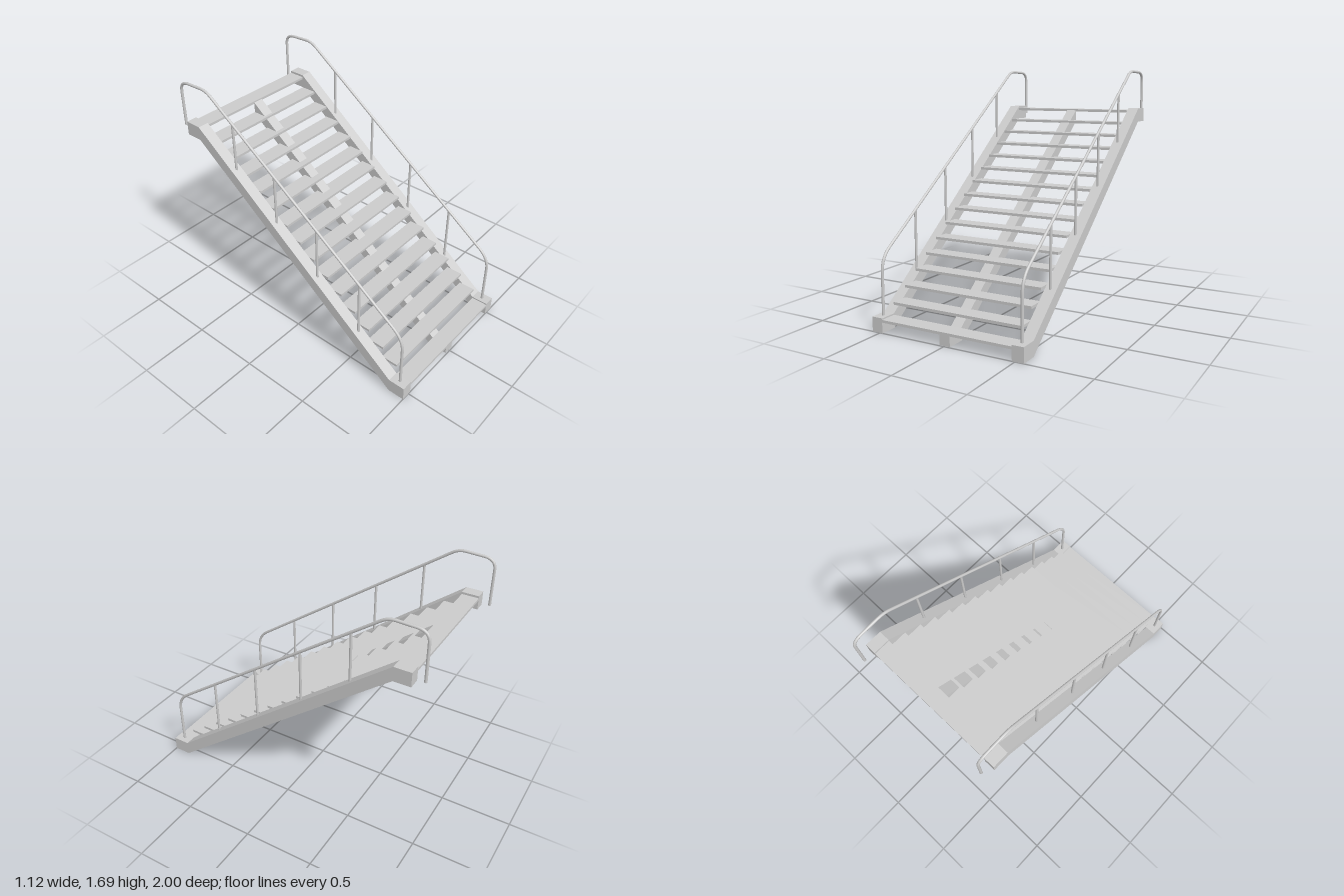
import * as THREE from 'three';

const material = new THREE.MeshStandardMaterial({ color: 0xcccccc });

// Extrudes a side profile of [z, y] points across a width centred on x
function beam(name, profile, x, width) {
  const shape = new THREE.Shape(profile.map(([z, y]) => new THREE.Vector2(-z, y)));
  const geometry = new THREE.ExtrudeGeometry(shape, { depth: width, bevelEnabled: false });
  geometry.translate(0, 0, -width / 2);
  geometry.rotateY(Math.PI / 2);
  const mesh = new THREE.Mesh(geometry, material);
  mesh.name = name;
  mesh.position.x = x;
  return mesh;
}

// Handrail centre line: upright, bend, slope, bend, level, bend, drop
function railCurve() {
  const v = (z, y) => new THREE.Vector3(0, y, z);
  const path = new THREE.CurvePath();
  const line = (a, b) => path.add(new THREE.LineCurve3(a, b));
  const bend = (a, b, c) => path.add(new THREE.QuadraticBezierCurve3(a, b, c));
  line(v(0.94, 0.09), v(0.94, 0.4));
  bend(v(0.94, 0.4), v(0.935, 0.49), v(0.85, 0.547));
  line(v(0.85, 0.547), v(-0.69, 1.65));
  bend(v(-0.69, 1.65), v(-0.73, 1.679), v(-0.78, 1.679));
  line(v(-0.78, 1.679), v(-0.91, 1.674));
  bend(v(-0.91, 1.674), v(-0.988, 1.67), v(-0.988, 1.6));
  line(v(-0.988, 1.6), v(-0.988, 1.335));
  // Sample each piece so that straights stay straight
  const points = [];
  path.curves.forEach((c) => {
    const n = c.isLineCurve3 ? 8 : 10;
    for (let i = 0; i < n; i++) points.push(c.getPoint(i / n));
  });
  points.push(v(-0.988, 1.335));
  return new THREE.CatmullRomCurve3(points, false, 'centripetal');
}

export function createModel() {
  const group = new THREE.Group();
  group.name = 'staircase';

  // Side stringers with level feet and heads
  const sideProfile = [
    [1, 0], [0.88, 0], [-0.8, 1.3], [-0.92, 1.3],
    [-0.92, 1.4], [-0.8, 1.4], [0.88, 0.1], [1, 0.1],
  ];
  group.add(beam('leftStringer', sideProfile, 0.52, 0.08));
  group.add(beam('rightStringer', sideProfile, -0.52, 0.08));

  // Central stringer, ending under the top tread
  const centreProfile = [
    [0.99, 0], [0.855, 0], [-0.8, 1.285], [-0.8, 1.376], [0.88, 0.071], [0.99, 0.071],
  ];
  group.add(beam('centreStringer', centreProfile, 0, 0.076));

  // Treads
  const treads = new THREE.Group();
  treads.name = 'treads';
  const treadGeometry = new THREE.BoxGeometry(0.96, 0.018, 0.12);
  for (let i = 0; i < 16; i++) {
    const tread = new THREE.Mesh(treadGeometry, material);
    tread.name = 'tread';
    tread.position.set(0, 0.081 + 0.0863 * i, 0.94 - 0.12 * i);
    treads.add(tread);
  }
  group.add(treads);

  // Handrails with their posts
  const railGeometry = new THREE.TubeGeometry(railCurve(), 140, 0.01, 12);
  const capGeometry = new THREE.CircleGeometry(0.01, 12).rotateX(Math.PI / 2);
  for (const side of [1, -1]) {
    const railing = new THREE.Group();
    railing.name = side > 0 ? 'leftRailing' : 'rightRailing';
    railing.position.x = 0.517 * side;
    const rail = new THREE.Mesh(railGeometry, material);
    rail.name = 'handrail';
    const cap = new THREE.Mesh(capGeometry, material);
    cap.name = 'handrailEnd';
    cap.position.set(0, 1.335, -0.988);
    railing.add(rail, cap);
    for (let i = 0; i < 4; i++) {
      const z = 0.58 - 0.36 * i;
      const bottom = 0.1 + (0.88 - z) * (1.3 / 1.68) - 0.01;
      const top = 0.547 + (0.85 - z) * (1.103 / 1.54);
      const post = new THREE.Mesh(new THREE.CylinderGeometry(0.009, 0.009, top - bottom, 12), material);
      post.name = 'railPost';
      post.position.set(0, (top + bottom) / 2, z);
      railing.add(post);
    }
    group.add(railing);
  }
  return group;
}
